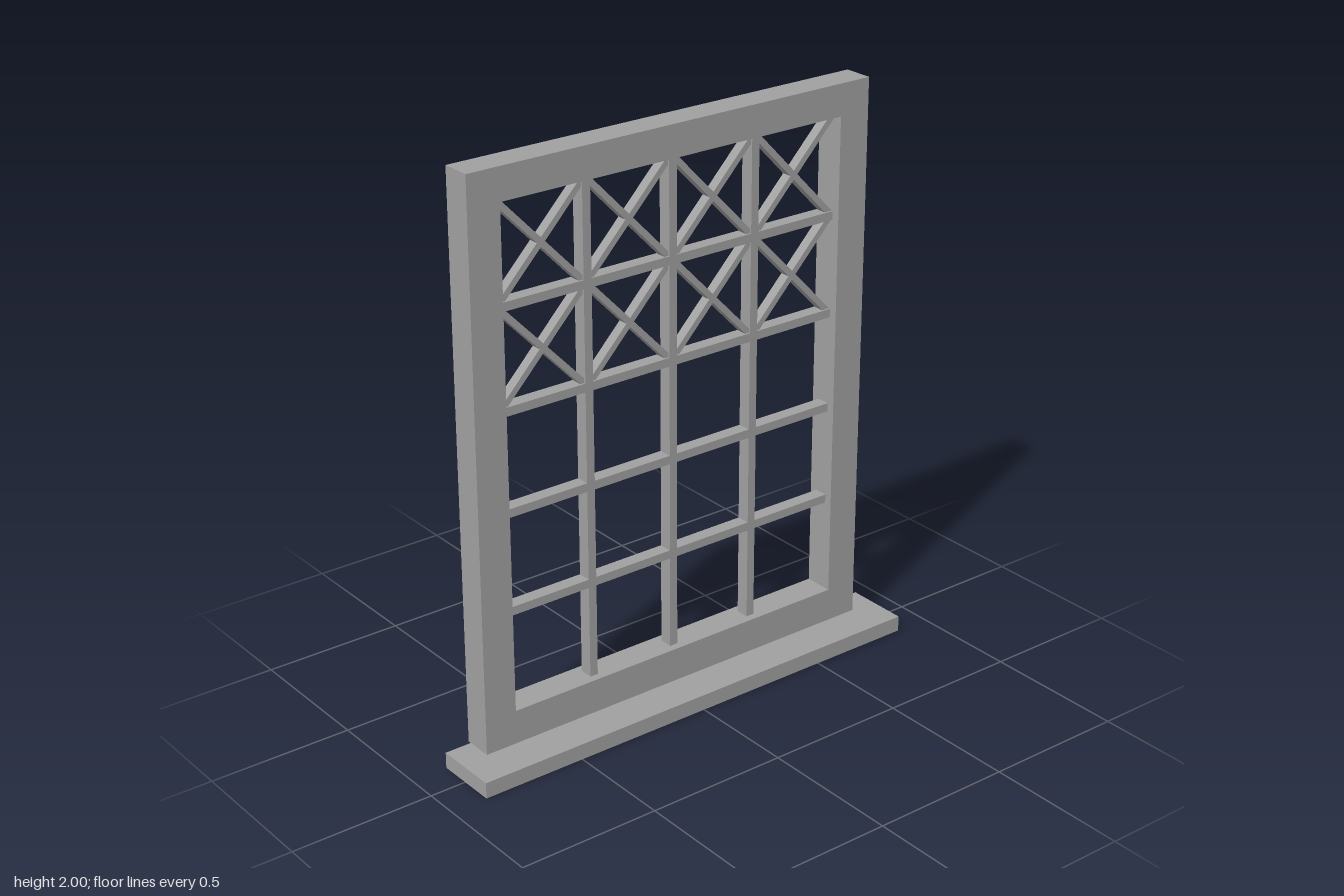
import * as THREE from 'three';

export function createModel() {
  const model = new THREE.Group();
  model.name = 'latticeWindow';
  const grey = new THREE.MeshStandardMaterial({ color: 0xa0a0a0 });
  grey.name = 'plain grey';

  const add = (name, geometry, x, y, z) => {
    const mesh = new THREE.Mesh(geometry, grey);
    mesh.name = name;
    mesh.position.set(x, y, z);
    model.add(mesh);
  };
  const box = (name, w, h, d, x, y, z) => add(name, new THREE.BoxGeometry(w, h, d), x, y, z);
  const polygon = (points) => new THREE.Shape(points.map(([x, y]) => new THREE.Vector2(x, y)));
  const rect = (x0, y0, x1, y1) => [[x0, y0], [x1, y0], [x1, y1], [x0, y1]];
  const extrude = (shape, depth) => new THREE.ExtrudeGeometry(shape, { depth, bevelEnabled: false });

  // Opening and grid of panes
  const left = -0.66, right = 0.66, bottom = 0.175, top = 1.89;
  const columns = 4, rows = 5;
  const cellW = (right - left) / columns, cellH = (top - bottom) / rows;
  const midZ = -0.068, barWidth = 0.03, barDepth = 0.048;

  // Sill
  box('sill', 1.744, 0.056, 0.228, 0, 0.028, 0.006);

  // Frame with its opening
  const frame = polygon(rect(-0.776, 0.056, 0.776, 2));
  frame.holes.push(polygon(rect(left, bottom, right, top).reverse()));
  add('frame', extrude(frame, 0.104), 0, 0, -0.12);

  // Glazing bars
  for (let i = 1; i < columns; i++)
    box('verticalBar', barWidth, top - bottom, barDepth, left + i * cellW, (top + bottom) / 2, midZ);
  for (let j = 1; j < rows; j++)
    box('horizontalBar', right - left, barWidth, barDepth, 0, bottom + j * cellH, midZ);

  // Crossed braces in the two upper rows, trimmed to each cell
  const t = 0.015, braceDepth = 0.036;
  const w = cellW, h = cellH;
  const rising = [[0, 0], [t, 0], [w, h - t], [w, h], [w - t, h], [0, t]];
  const falling = rising.map(([x, y]) => [w - x, y]).reverse();
  const braces = [rising, falling].map((points) => extrude(polygon(points), braceDepth));
  for (let j = rows - 2; j < rows; j++)
    for (let i = 0; i < columns; i++)
      for (const brace of braces)
        add('diagonalBrace', brace, left + i * w, bottom + j * h, midZ - braceDepth / 2);

  return model;
}
